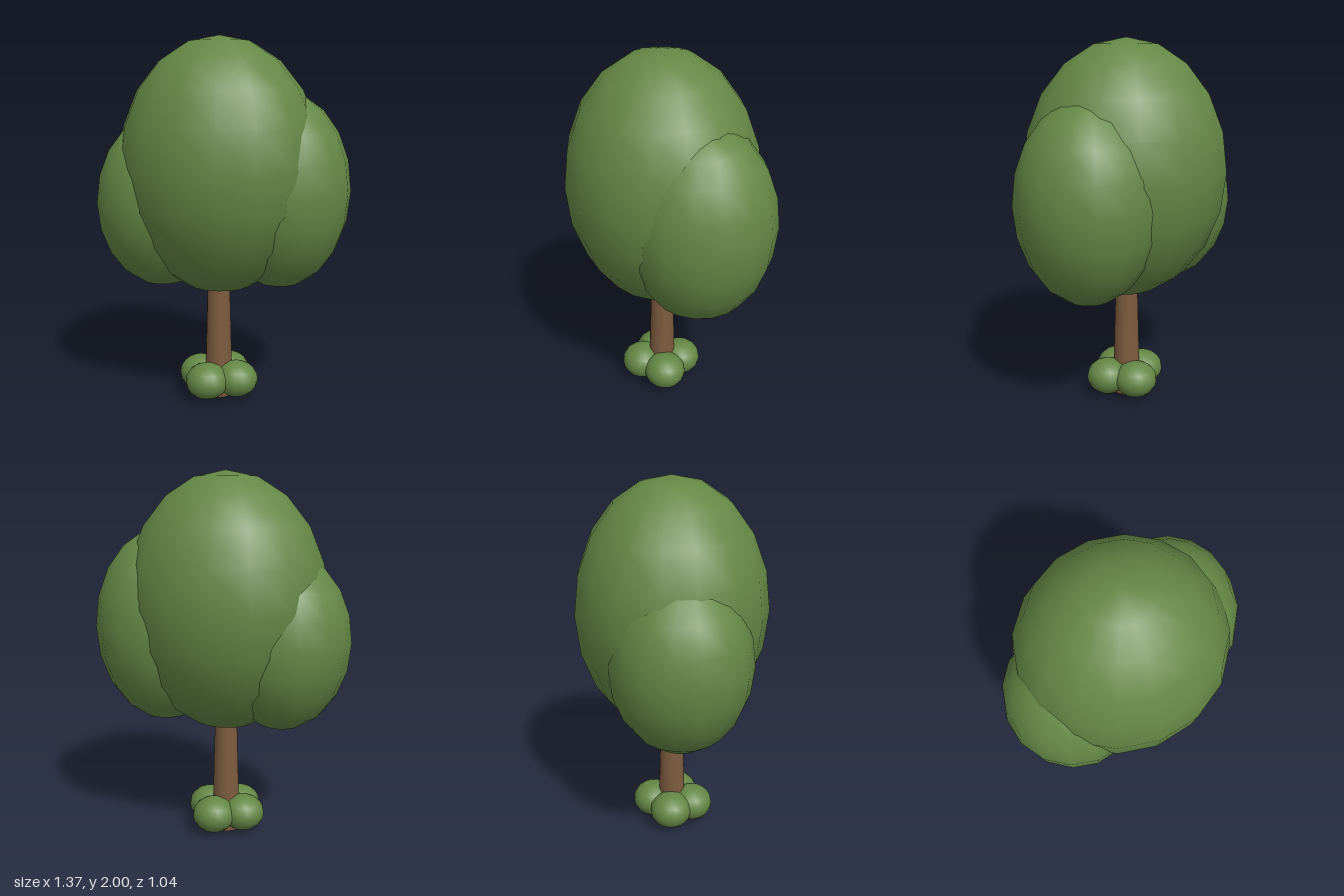
import * as THREE from 'three';

export function createModel() {
  const tree = new THREE.Group();
  tree.name = 'tree';

  const leafGreen = new THREE.MeshStandardMaterial({ color: 0x648745 });
  leafGreen.name = 'leaf green';
  const barkBrown = new THREE.MeshStandardMaterial({ color: 0x7c5b3e });
  barkBrown.name = 'bark brown';

  // Smooth ellipsoid of foliage; scaling is baked in so the normals stay right
  const unitBall = new THREE.SphereGeometry(1, 16, 10);
  function addFoliage(name, center, radii) {
    const mesh = new THREE.Mesh(unitBall.clone().scale(...radii), leafGreen);
    mesh.name = name;
    mesh.position.set(...center);
    tree.add(mesh);
  }

  // Crown: one tall mass with a lower lobe on each side
  addFoliage('mainCrown', [-0.01, 1.305, 0], [0.56, 0.695, 0.52]);
  addFoliage('rightLobe', [-0.32, 1.11, 0.08], [0.365, 0.48, 0.375]);
  addFoliage('leftLobe', [0.3, 1.175, -0.125], [0.38, 0.535, 0.395]);

  // Tapered trunk, running up into the crown
  const trunk = new THREE.Mesh(new THREE.CylinderGeometry(0.058, 0.08, 0.8, 16), barkBrown);
  trunk.name = 'trunk';
  trunk.position.set(-0.013, 0.4, 0);
  tree.add(trunk);

  // Four little bushes around the foot
  const bushes = [
    ['frontBush', -0.026, 0.118],
    ['backBush', -0.005, -0.108],
    ['rightBush', -0.122, 0.008],
    ['leftBush', 0.104, 0.013],
  ];
  for (const [name, x, z] of bushes) addFoliage(name, [x, 0.11, z], [0.122, 0.1, 0.119]);

  return tree;
}
